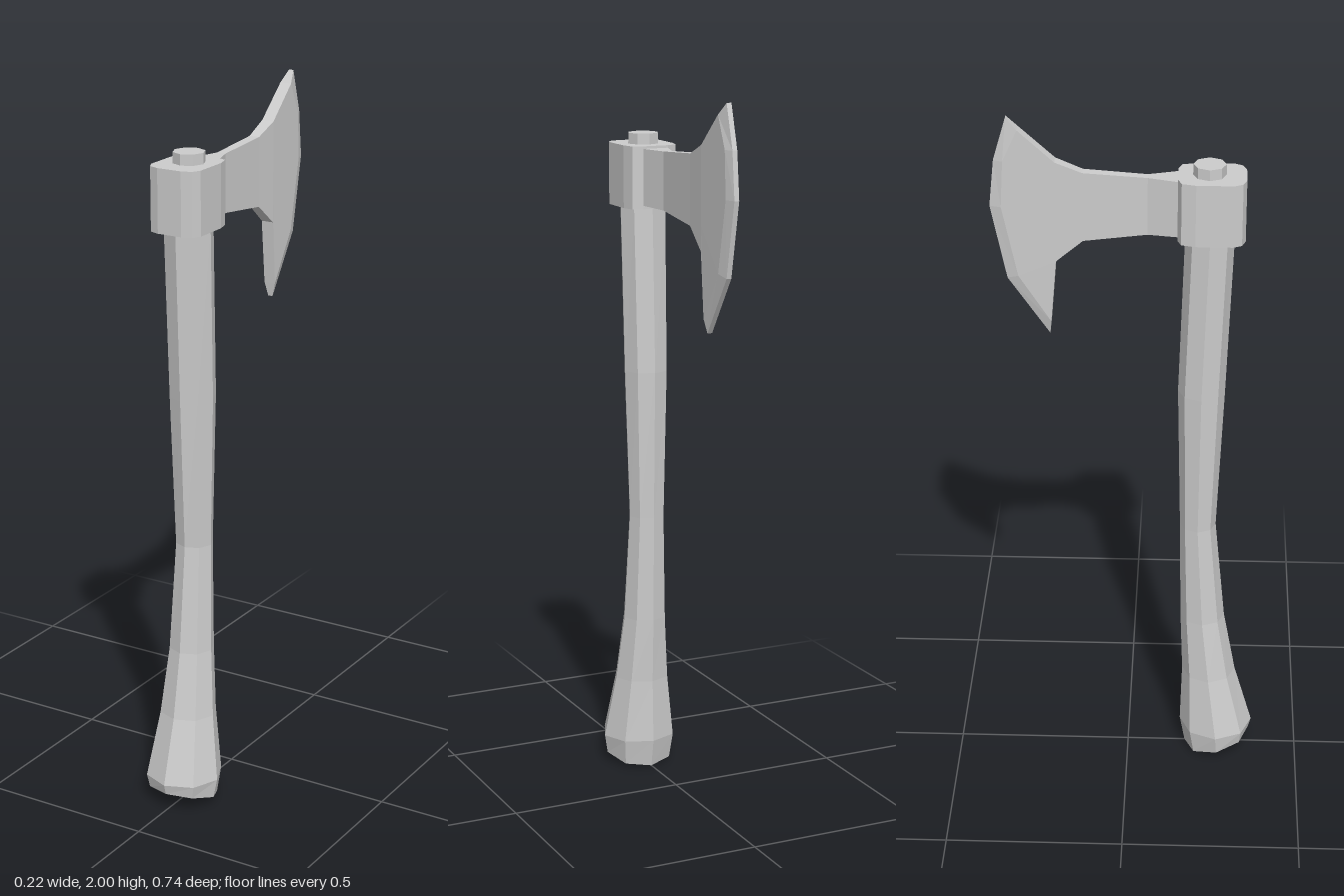
import * as THREE from 'three';

// Skin a list of equal-length rings and close both ends
function loft(rings) {
  const pos = [];
  const quad = (a, b, c, d) => [a, b, c, a, c, d].forEach((p) => pos.push(...p));
  const n = rings[0].length;
  for (let k = 0; k < rings.length - 1; k++) {
    const lo = rings[k], hi = rings[k + 1];
    for (let i = 0; i < n; i++) {
      const j = (i + 1) % n;
      quad(lo[i], lo[j], hi[j], hi[i]);
    }
  }
  const first = rings[0], last = rings[rings.length - 1];
  for (let i = 0; i < n / 2 - 1; i++) {
    const m = n - 1 - i;
    quad(last[i], last[i + 1], last[m - 1], last[m]);
    quad(first[m], first[m - 1], first[i + 1], first[i]);
  }
  const geo = new THREE.BufferGeometry();
  geo.setAttribute('position', new THREE.Float32BufferAttribute(pos, 3));
  geo.computeVertexNormals();
  return geo;
}

export function createModel() {
  const group = new THREE.Group();
  const grey = new THREE.MeshStandardMaterial({ color: 0xcccccc, flatShading: true });
  grey.name = 'plain grey';
  const add = (name, geo) => {
    const mesh = new THREE.Mesh(geo, grey);
    mesh.name = name;
    group.add(mesh);
    return mesh;
  };

  // Curved eight-sided handle: [front z, front y, back z, back y, half width]
  const sections = [
    [0.36, 0.055, 0.17, 0.003, 0.1],
    [0.368, 0.085, 0.155, 0.085, 0.11],
    [0.315, 0.27, 0.16, 0.27, 0.082],
    [0.28, 0.46, 0.153, 0.46, 0.064],
    [0.25, 0.77, 0.148, 0.77, 0.053],
    [0.268, 1.2, 0.138, 1.2, 0.064],
    [0.285, 1.67, 0.152, 1.67, 0.068],
    [0.285, 1.75, 0.152, 1.75, 0.068],
  ];
  add('handle', loft(sections.map(([fz, fy, bz, by, w]) =>
    Array.from({ length: 8 }, (_, i) => {
      const a = (i * Math.PI) / 4;
      const t = (1 + Math.cos(a)) / 2;
      return [w * Math.sin(a), by + (fy - by) * t, bz + (fz - bz) * t];
    }))));

  // Collar around the handle, outlined from above as [x, z]
  const half = [[0.038, 0.132], [0.066, 0.142], [0.076, 0.18], [0.076, 0.28], [0.064, 0.303], [0.036, 0.313]];
  const outline = [...half, ...half.map(([x, z]) => [-x, z]).reverse()];
  const collar = new THREE.ExtrudeGeometry(
    new THREE.Shape(outline.map(([x, z]) => new THREE.Vector2(x, -z))),
    { depth: 0.175, bevelEnabled: false });
  collar.rotateX(-Math.PI / 2);
  collar.translate(0, 1.67, 0);
  add('collar', collar);

  // Handle end showing above the collar
  add('handleEnd', new THREE.CylinderGeometry(0.044, 0.044, 0.055, 8)).position.set(0, 1.8475, 0.215);

  // Blade columns from neck to cutting edge; each runs top to bottom as [z, y]
  const straight = (z, top, bottom) =>
    [0, 0.25, 0.5, 0.75, 1].map((t) => [z, top + (bottom - top) * t]);
  const columns = [
    [0.038, straight(0.135, 1.838, 1.68)],
    [0.013, straight(0.052, 1.838, 1.675)],
    [0.015, straight(-0.12, 1.85, 1.655)],
    [0.018, straight(-0.193, 1.88, 1.595)],
    [0.017, [[-0.29, 1.968], [-0.33, 1.88], [-0.337, 1.75], [-0.295, 1.55], [-0.208, 1.415]]],
    [0.007, [[-0.32, 2.0], [-0.355, 1.88], [-0.368, 1.75], [-0.325, 1.54], [-0.212, 1.375]]],
  ];
  add('blade', loft(columns.map(([w, rows]) => [
    ...rows.map(([z, y]) => [w, y, z]),
    ...rows.map(([z, y]) => [-w, y, z]).reverse(),
  ])));

  return group;
}
